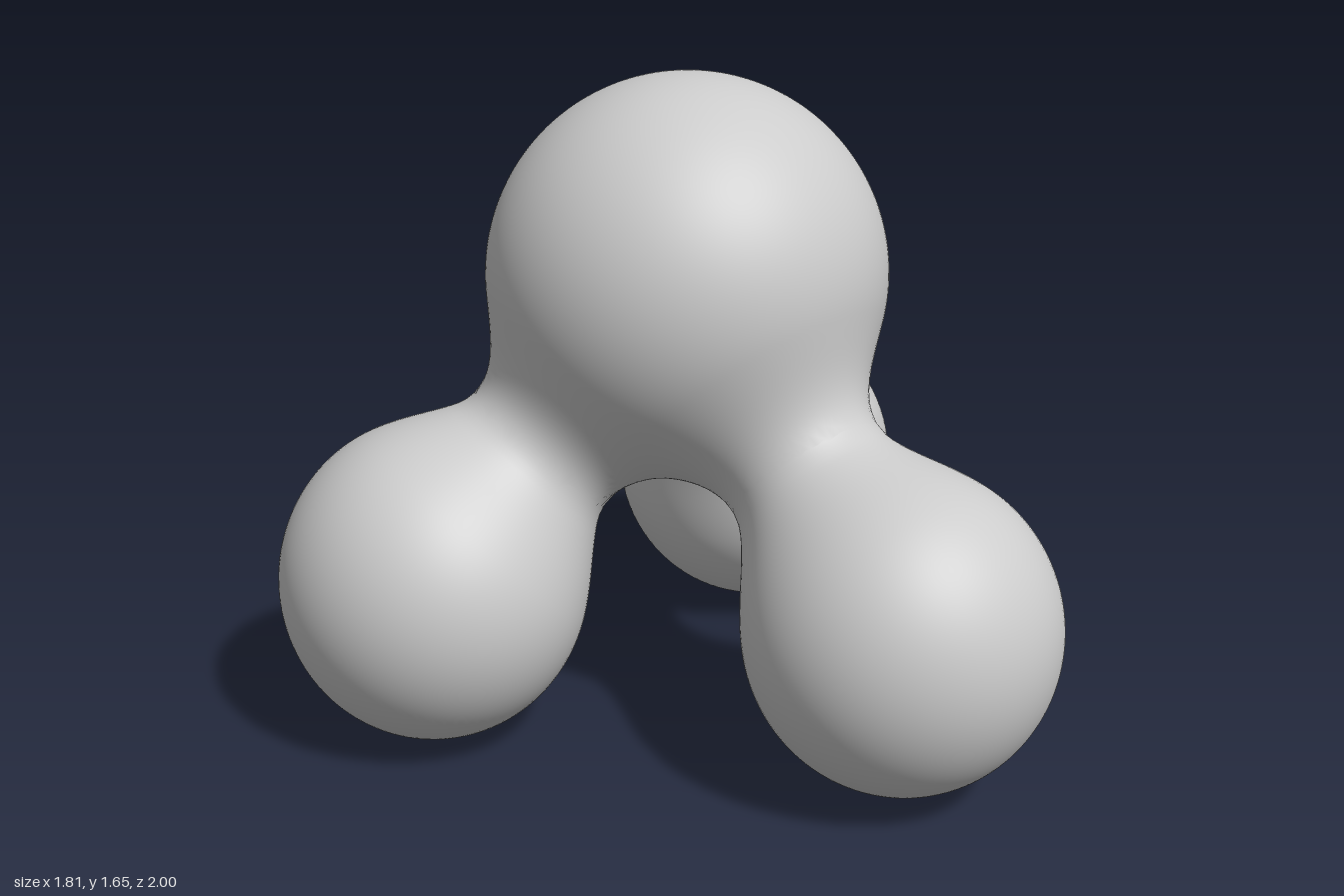
import * as THREE from 'three';

const V = (x, y, z) => new THREE.Vector3(x, y, z);
const CORE = V(0.135, 1.15, 0.035), CORE_R = 0.498;
const CUT = 0.57, OVERLAP = 0.02, NECK_R = 0.185, BLEND = 0.17;

// Three slightly egg-shaped lobes hang below the core
const lobes = [
  { name: 'rightLobe', c: V(-0.517, 0.405, 0.065), r: V(0.388, 0.405, 0.405) },
  { name: 'frontLobe', c: V(0.522, 0.415, 0.62), r: V(0.38, 0.397, 0.38) },
  { name: 'backLobe', c: V(0.495, 0.415, -0.6), r: V(0.39, 0.405, 0.398) },
];
for (const l of lobes) {
  l.axis = l.c.clone().sub(CORE);
  l.length = l.axis.length();
  l.axis.normalize();
}

// Smooth minimum rounds the joints
function blend(a, b, k) {
  const h = Math.max(k - Math.abs(a - b), 0) / k;
  return Math.min(a, b) - h * h * k / 4;
}

// Signed field of core, necks and lobes together
const q = V(0, 0, 0);
function field(p) {
  let d = p.distanceTo(CORE) - CORE_R;
  for (const l of lobes) {
    q.copy(p).sub(CORE);
    const t = THREE.MathUtils.clamp(q.dot(l.axis), 0, l.length);
    const neck = q.addScaledVector(l.axis, -t).length() - NECK_R;
    q.copy(p).sub(l.c).divide(l.r);
    const ball = (q.length() - 1) * l.r.x;
    d = blend(d, blend(neck, ball, BLEND), BLEND);
  }
  return d;
}

function normalAt(p) {
  const e = 0.002, n = V(0, 0, 0), s = p.clone();
  for (const k of ['x', 'y', 'z']) {
    s[k] = p[k] + e;
    const a = field(s);
    s[k] = p[k] - e;
    n[k] = a - field(s);
    s[k] = p[k];
  }
  return n.normalize();
}

// Push a sphere's vertices outward to the blended skin, stopping at the neck cuts
function blob(name, center, pole, segments, rings, limit) {
  const geo = new THREE.SphereGeometry(1, segments, rings);
  geo.applyQuaternion(new THREE.Quaternion().setFromUnitVectors(V(0, 1, 0), pole));
  const pos = geo.attributes.position, nor = geo.attributes.normal;
  const dir = V(0, 0, 0), p = V(0, 0, 0);
  for (let i = 0; i < pos.count; i++) {
    dir.fromBufferAttribute(pos, i).normalize();
    const max = limit(dir);
    const at = t => field(p.copy(center).addScaledVector(dir, t));
    let lo = 0.2, hi = lo;
    while (hi < max && at(hi) < 0) { lo = hi; hi += 0.02; }
    hi = Math.min(hi, max);
    if (at(hi) > 0) {
      for (let n = 0; n < 14; n++) {
        const mid = (lo + hi) / 2;
        if (at(mid) < 0) lo = mid; else hi = mid;
      }
    }
    p.copy(center).addScaledVector(dir, hi);
    const n = normalAt(p);
    pos.setXYZ(i, p.x, p.y, p.z);
    nor.setXYZ(i, n.x, n.y, n.z);
  }
  const mesh = new THREE.Mesh(geo, new THREE.MeshStandardMaterial({ color: 0xcccccc }));
  mesh.name = name;
  return mesh;
}

export function createModel() {
  const group = new THREE.Group();
  group.name = 'blobCluster';

  // Large core with the upper half of each neck
  group.add(blob('core', CORE, V(0, 1, 0), 144, 110, dir => {
    let max = 1;
    for (const l of lobes) {
      const s = dir.dot(l.axis);
      if (s > 0) max = Math.min(max, (CUT + OVERLAP) / s);
    }
    return max;
  }));

  // Lobes with the lower half of each neck
  for (const l of lobes) {
    const pole = l.axis.clone().negate();
    group.add(blob(l.name, l.c, pole, 96, 80, dir => {
      const s = dir.dot(pole);
      return s > 0 ? Math.min(1, (l.length - CUT + OVERLAP) / s) : 1;
    }));
  }
  return group;
}
